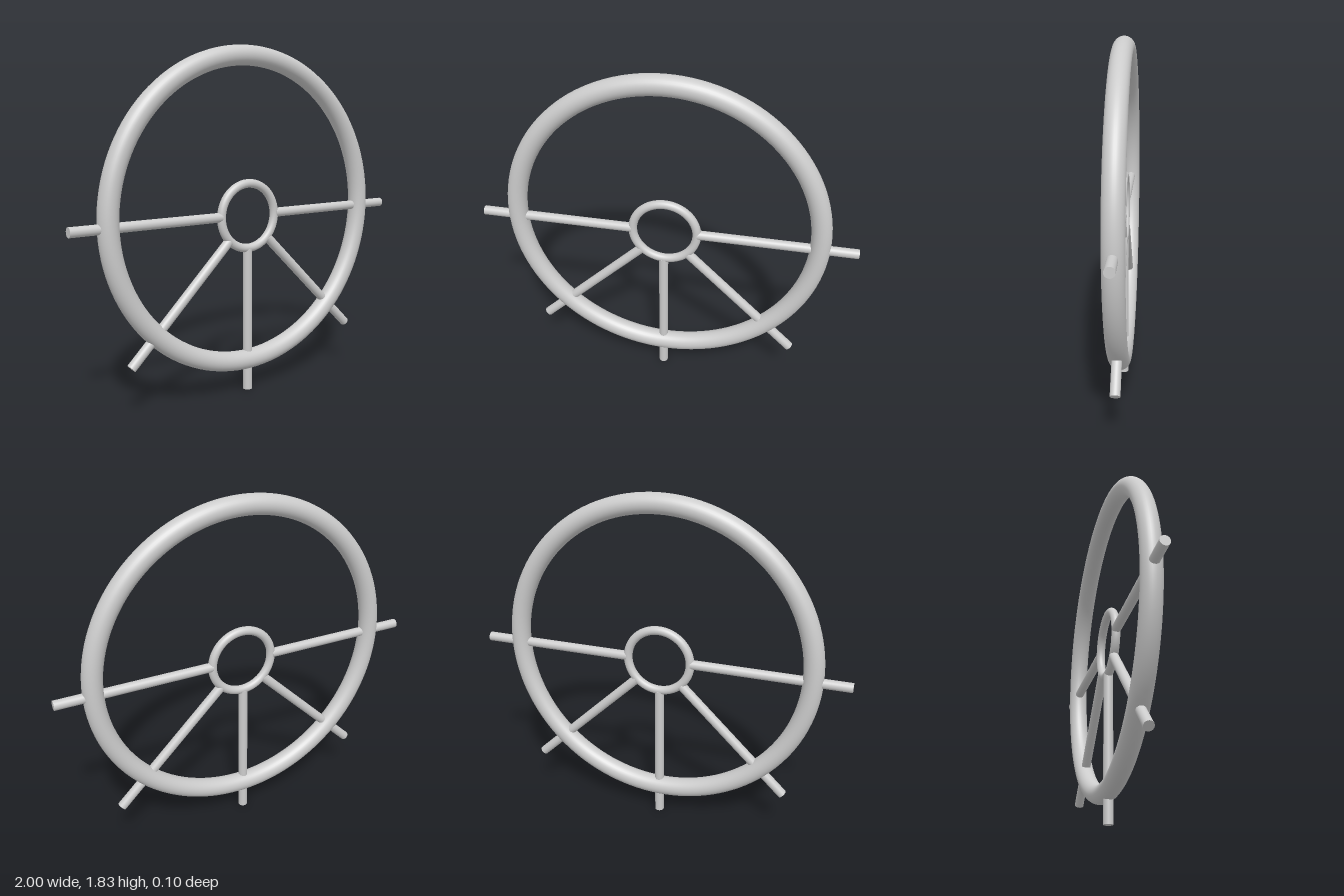
import * as THREE from 'three';

export function createModel() {
  const group = new THREE.Group();
  const material = new THREE.MeshStandardMaterial({ color: 0xcccccc });

  function add(name, geometry) {
    const mesh = new THREE.Mesh(geometry, material);
    mesh.name = name;
    group.add(mesh);
    return mesh;
  }

  // Outer rim and the small open hub ring
  add('rim', new THREE.TorusGeometry(0.806, 0.052, 32, 128)).position.y = 0.973;
  add('hubRing', new THREE.TorusGeometry(0.172, 0.023, 24, 64)).position.y = 0.95;

  // Round spokes from the hub through the rim, ending in short handles
  const up = new THREE.Vector3(0, 1, 0);
  function spoke(name, x0, y0, x1, y1) {
    const a = new THREE.Vector3(x0, y0, 0);
    const b = new THREE.Vector3(x1, y1, 0);
    const dir = b.clone().sub(a);
    const mesh = add(name, new THREE.CylinderGeometry(0.025, 0.025, dir.length(), 32));
    mesh.position.copy(a).add(b).multiplyScalar(0.5);
    mesh.quaternion.setFromUnitVectors(up, dir.normalize());
  }
  spoke('leftSpoke', 0.175, 0.955, 1, 0.955);
  spoke('rightSpoke', -0.175, 0.955, -1, 0.955);
  spoke('lowerLeftSpoke', 0.125, 0.825, 0.72, 0.25);
  spoke('lowerRightSpoke', -0.125, 0.825, -0.705, 0.26);
  spoke('bottomSpoke', -0.005, 0.775, -0.005, 0);

  return group;
}
